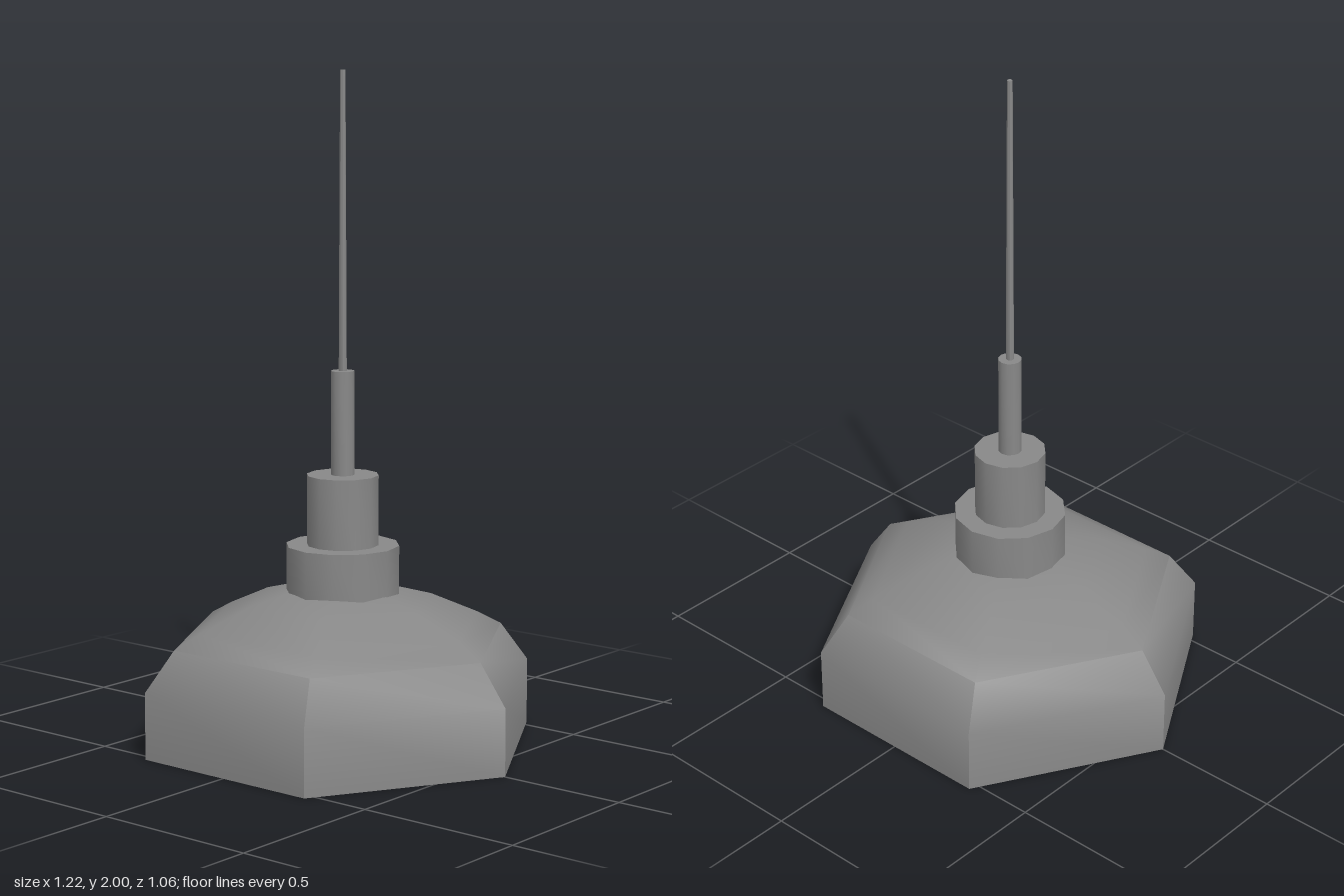
import * as THREE from 'three';
import { toCreasedNormals } from 'three/addons/utils/BufferGeometryUtils.js';

const AXIS_Z = -0.008; // the fitting sits slightly behind the shade's centre

export function createModel() {
  const group = new THREE.Group();
  group.name = 'pendantLamp';
  const material = new THREE.MeshStandardMaterial({ color: 0x888888 });

  // Turned part: profile of [radius, height], with a corner on the x axis
  function turned(name, profile, sides, z = 0) {
    const points = profile.map(([r, y]) => new THREE.Vector2(r, y));
    const lathe = new THREE.LatheGeometry(points, sides, Math.PI / 2);
    const mesh = new THREE.Mesh(toCreasedNormals(lathe, THREE.MathUtils.degToRad(48)), material);
    mesh.name = name;
    mesh.position.z = z;
    group.add(mesh);
  }

  // Six-sided shade with a shallow recessed panel underneath
  turned('shade', [
    [0, 0.015], [0.54, 0.015], [0.54, 0], [0.61, 0], [0.61, 0.2],
    [0.52, 0.32], [0.44, 0.363], [0.29, 0.43], [0.17, 0.463], [0, 0.47],
  ], 6);

  // Stacked collar, socket, stem and tapering cable:
  // name, bottom radius, top radius, bottom, top, sides
  const fittings = [
    ['collar', 0.17, 0.17, 0.44, 0.6, 12],
    ['socket', 0.108, 0.108, 0.6, 0.81, 12],
    ['stem', 0.035, 0.035, 0.81, 1.12, 12],
    ['cable', 0.012, 0.008, 1.12, 2, 8],
  ];
  for (const [name, r0, r1, y0, y1, sides] of fittings) {
    turned(name, [[0, y0], [r0, y0], [r1, y1], [0, y1]], sides, AXIS_Z);
  }

  return group;
}
